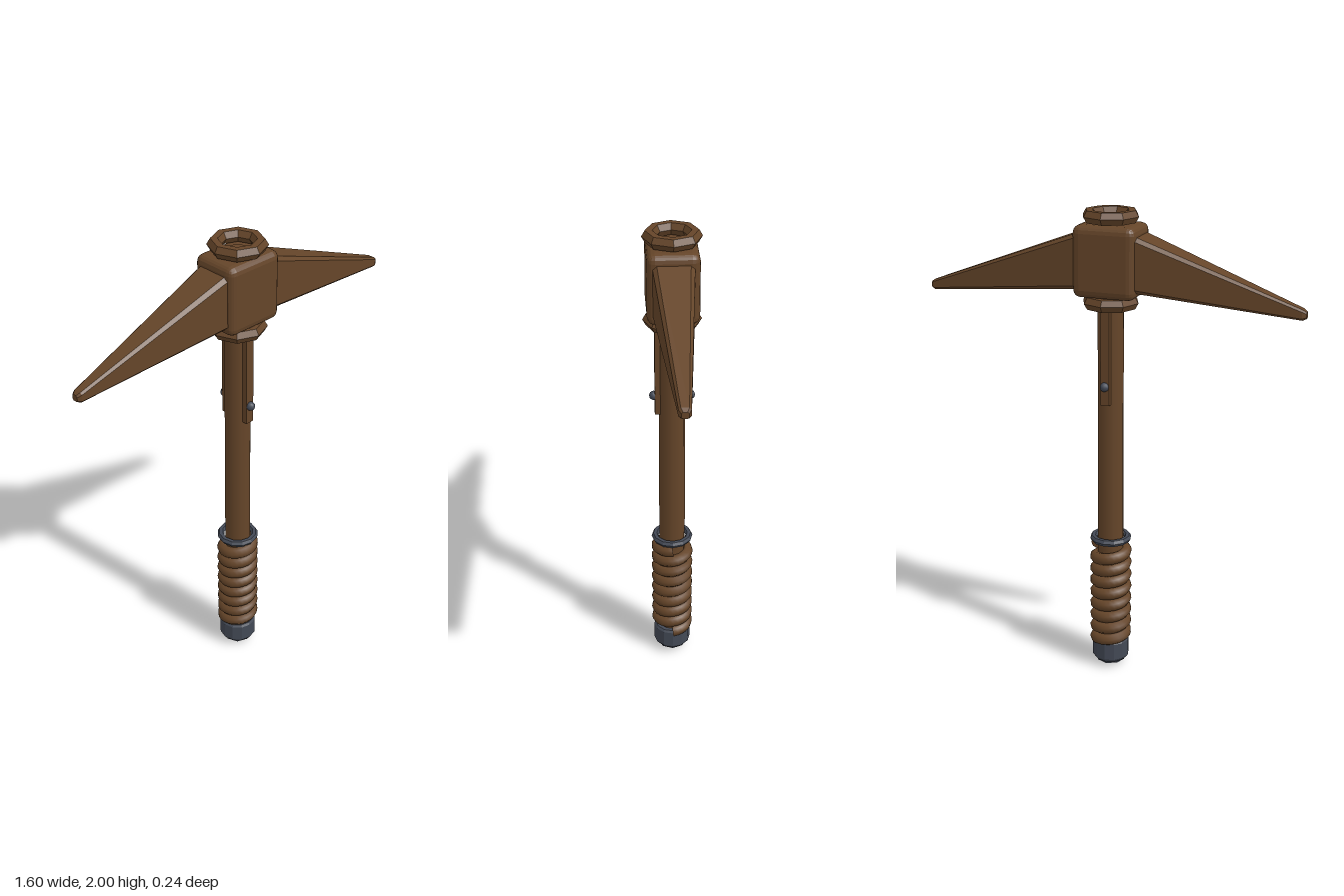
import * as THREE from 'three';
import { RoundedBoxGeometry } from 'three/addons/geometries/RoundedBoxGeometry.js';

// Faceted copy of a geometry
function faceted(geo) {
  const g = geo.index ? geo.toNonIndexed() : geo;
  g.computeVertexNormals();
  return g;
}

// Tapered, chamfered beam along +x; each section is [x, yMin, yMax, halfDepth, chamfer]
function beam(sections) {
  const rings = sections.map(([x, y0, y1, d, c]) => [
    [x, y1, -d + c], [x, y1, d - c], [x, y1 - c, d], [x, y0 + c, d],
    [x, y0, d - c], [x, y0, -d + c], [x, y0 + c, -d], [x, y1 - c, -d],
  ]);
  const pos = [];
  for (let i = 0; i < rings.length - 1; i++) {
    for (let j = 0; j < 8; j++) {
      const k = (j + 1) % 8;
      const a = rings[i][j], b = rings[i][k], c = rings[i + 1][k], d = rings[i + 1][j];
      pos.push(...a, ...b, ...d, ...b, ...c, ...d);
    }
  }
  const first = rings[0], last = rings[rings.length - 1];
  for (let j = 1; j < 7; j++) {
    pos.push(...last[0], ...last[j], ...last[j + 1]);
    pos.push(...first[0], ...first[j + 1], ...first[j]);
  }
  const g = new THREE.BufferGeometry();
  g.setAttribute('position', new THREE.Float32BufferAttribute(pos, 3));
  g.computeVertexNormals();
  return g;
}

// Rising coil around the handle
class Coil extends THREE.Curve {
  getPoint(t, target = new THREE.Vector3()) {
    const a = t * 8 * Math.PI * 2;
    return target.set(0.064 * Math.cos(a), 0.12 + 0.44 * t, -0.064 * Math.sin(a));
  }
}

export function createModel() {
  const model = new THREE.Group();
  model.name = 'pickaxe';
  const brown = new THREE.MeshStandardMaterial({ color: 0x654529 });
  brown.name = 'brown';
  const slate = new THREE.MeshStandardMaterial({ color: 0x434955 });
  slate.name = 'slate';

  const add = (name, geo, mat, x = 0, y = 0, z = 0) => {
    const mesh = new THREE.Mesh(geo, mat);
    mesh.name = name;
    mesh.position.set(x, y, z);
    model.add(mesh);
    return mesh;
  };
  const ring = (r, tube, sides, around) =>
    faceted(new THREE.TorusGeometry(r, tube, sides, around).rotateX(Math.PI / 2));

  // Handle shaft
  add('handle', new THREE.CylinderGeometry(0.053, 0.056, 1.85, 12), brown, 0, 1.025, 0);

  // Head block, with a collar above and below
  add('headBlock', faceted(new RoundedBoxGeometry(0.262, 0.29, 0.206, 2, 0.032)), brown, 0, 1.8, 0);
  add('topCollar', ring(0.09, 0.028, 6, 8), brown, 0, 1.975, 0);
  add('bottomCollar', ring(0.09, 0.028, 6, 8), brown, 0, 1.63, 0);

  // Two matching picks
  const pick = beam([
    [0.1, 1.687, 1.917, 0.083, 0.016],
    [0.785, 1.622, 1.664, 0.023, 0.008],
    [0.8, 1.628, 1.654, 0.014, 0.006],
  ]);
  add('leftPick', pick, brown);
  add('rightPick', pick, brown).rotation.y = Math.PI;

  // Langets and rivets on the front and back of the shaft
  for (const [side, s] of [['front', 1], ['back', -1]]) {
    add(side + 'Langet', new THREE.BoxGeometry(0.038, 0.42, 0.03), brown, 0, 1.42, s * 0.056);
    add(side + 'Rivet', new THREE.SphereGeometry(0.019, 10, 8), slate, 0, 1.29, s * 0.075);
  }

  // Wrapped grip with closed ends
  add('gripWrap', new THREE.TubeGeometry(new Coil(), 192, 0.026, 8), brown);
  add('wrapStart', new THREE.CircleGeometry(0.026, 8), brown, 0.064, 0.12, 0);
  add('wrapEnd', new THREE.CircleGeometry(0.026, 8), brown, 0.064, 0.56, 0).rotation.y = Math.PI;
  add('gripRing', ring(0.074, 0.015, 6, 12), slate, 0, 0.598, 0);

  // Pommel cap and end nut
  const cap = [[0, 0.028], [0.07, 0.028], [0.08, 0.042], [0.08, 0.115], [0.073, 0.125], [0, 0.125]];
  add('pommel', faceted(new THREE.LatheGeometry(cap.map(p => new THREE.Vector2(...p)), 12)), slate);
  const nut = [[0, 0], [0.03, 0.004], [0.062, 0.016], [0.062, 0.035], [0, 0.035]];
  add('pommelNut', faceted(new THREE.LatheGeometry(nut.map(p => new THREE.Vector2(...p)), 8)), slate);

  return model;
}
